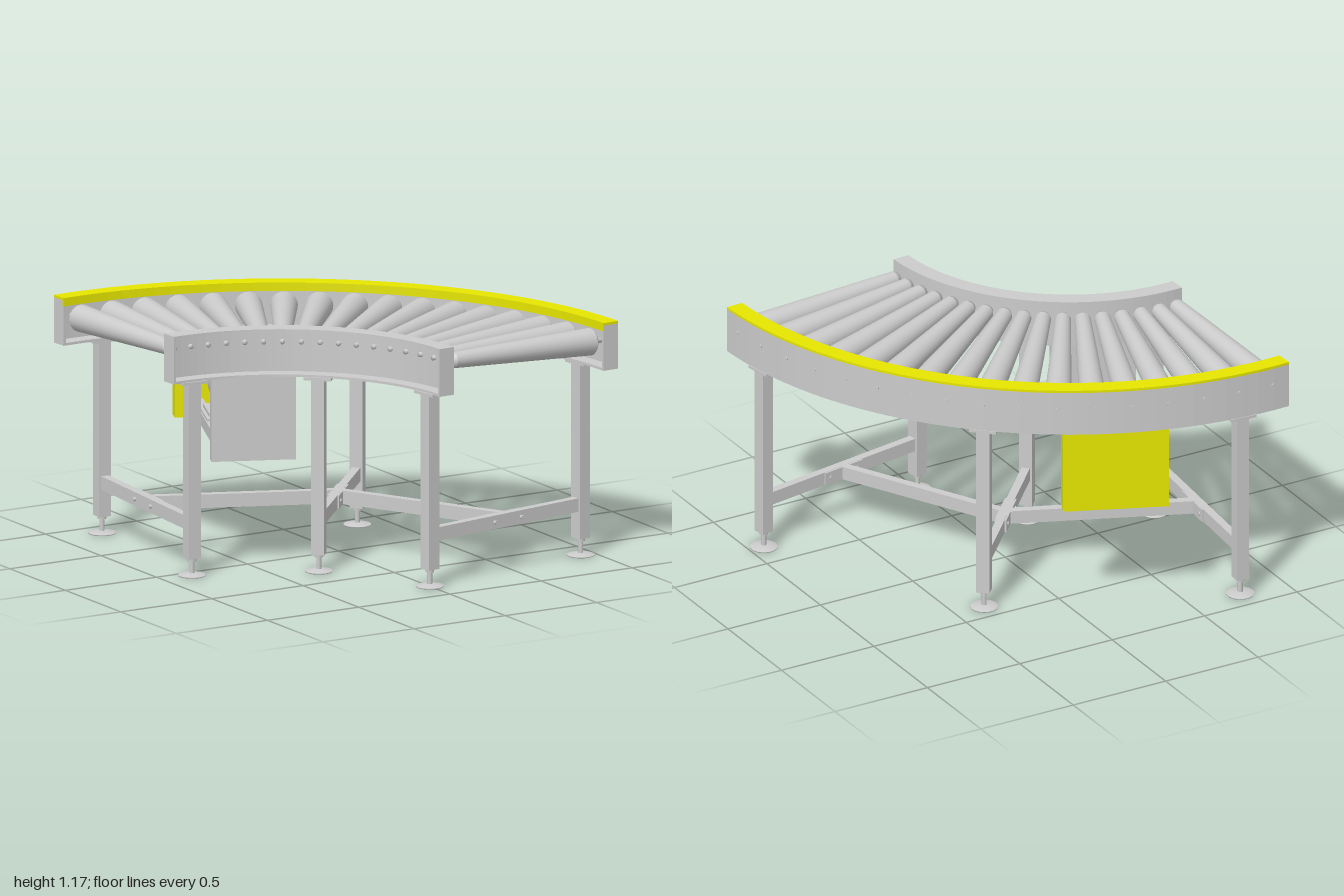
import * as THREE from 'three';

const RAD = Math.PI / 180;
const CX = -0.915, CZ = 0.98;          // centre of the bend
const START = -2.6, SWEEP = 90;        // degrees, measured from the back towards +x
const ROLLERS = 17;
const LEG_ANGLES = [4.7, 42.4, 80.1], R_IN = 0.928, R_OUT = 1.868;
const grey = new THREE.MeshStandardMaterial({ color: 0xcccccc });
const yellow = new THREE.MeshStandardMaterial({ color: 0xe6e600 });

function add(parent, name, geometry, x = 0, y = 0, z = 0, material = grey) {
  const mesh = new THREE.Mesh(geometry, material);
  mesh.name = name;
  mesh.position.set(x, y, z);
  parent.add(mesh);
  return mesh;
}

const box = (w, h, d) => new THREE.BoxGeometry(w, h, d);
const cyl = (r, h, n = 20) => new THREE.CylinderGeometry(r, r, h, n);
const lathe = (pts, n) => new THREE.LatheGeometry(pts.map(p => new THREE.Vector2(...p)), n);

// Frame at the bend centre: local -z points outwards, local x runs along the bend
function spoke(parent, name, angle) {
  const g = new THREE.Group();
  g.name = name;
  g.position.set(CX, 0, CZ);
  g.rotation.y = -angle * RAD;
  parent.add(g);
  return g;
}

function polar(angle, r, y = 0) {
  return new THREE.Vector3(CX + r * Math.sin(angle * RAD), y, CZ - r * Math.cos(angle * RAD));
}

// Curved bar with rectangular section
function arcBar(parent, name, r0, r1, y0, y1, material) {
  const a0 = (90 - START - SWEEP) * RAD, a1 = (90 - START) * RAD;
  const shape = new THREE.Shape();
  shape.absarc(0, 0, r1, a0, a1, false);
  shape.absarc(0, 0, r0, a1, a0, true);
  const geo = new THREE.ExtrudeGeometry(shape, { depth: y1 - y0, bevelEnabled: false, curveSegments: 18 });
  geo.rotateX(-Math.PI / 2);
  add(parent, name, geo, CX, y0, CZ, material);
}

// Channel rail: web on the outer side, flanges pointing inwards, closed ends
function rail(parent, name, r0, r1, topMaterial) {
  const g = new THREE.Group();
  g.name = name;
  parent.add(g);
  const t = 0.012, y0 = 0.94, y1 = 1.17;
  arcBar(g, 'web', r1 - t, r1, y0, y1 - t, grey);
  arcBar(g, 'topFlange', r0, r1, y1 - t, y1, topMaterial);
  arcBar(g, 'bottomFlange', r0, r1, y0, y0 + t, grey);
  for (const [angle, s] of [[START, 1], [START + SWEEP, -1]]) {
    add(spoke(g, 'railEnd', angle), 'endPlate', box(t, y1 - y0 - t, r1 - r0),
      s * t / 2, (y0 + y1 - t) / 2, -(r0 + r1) / 2);
  }
  return g;
}

// Straight bar between two points at the same height
function bar(parent, name, a, b, h, w) {
  const mesh = add(parent, name, box(w, h, a.distanceTo(b)));
  mesh.position.copy(a).add(b).multiplyScalar(0.5);
  mesh.rotation.y = Math.atan2(b.x - a.x, b.z - a.z);
  return mesh;
}

function buildRollers(parent) {
  // Tapered roller with chamfered ends and a thin shaft, axis along y from inner to outer end
  const len = 0.825, tilt = Math.atan2(0.027, len);
  const roller = lathe([[0, -0.03], [0.012, -0.03], [0.012, 0], [0.029, 0], [0.038, 0.022],
    [0.038, 0.022], [0.065, len - 0.008], [0.065, len - 0.008], [0.058, len], [0.012, len],
    [0.012, len + 0.08], [0, len + 0.08]], 24);
  for (let i = 0; i < ROLLERS; i++) {
    const g = spoke(parent, 'rollerUnit', START + SWEEP * (i + 0.5) / ROLLERS);
    const m = add(g, 'roller', roller, 0, 1.094, -0.985);
    m.rotation.x = -Math.PI / 2 - tilt;
    // Shaft ends showing on the rail webs
    for (const [r, y] of [[0.965, 1.096], [1.902, 1.072]]) {
      add(g, 'shaftBolt', cyl(0.009, 0.016, 10), 0, y, -r).rotation.x = Math.PI / 2;
    }
  }
}

function buildLeg(parent, angle, r) {
  const g = spoke(parent, 'leg', angle);
  add(g, 'post', box(0.063, 0.845, 0.063), 0, 0.5075, -r);
  add(g, 'topPlate', box(0.13, 0.014, 0.08), 0, 0.934, -r);
  add(g, 'spindle', cyl(0.012, 0.09, 12), 0, 0.05, -r);
  add(g, 'nut', cyl(0.022, 0.016, 6), 0, 0.078, -r);
  add(g, 'footPad', lathe([[0, 0], [0.065, 0], [0.065, 0.005], [0.022, 0.013], [0, 0.013]], 28), 0, 0, -r);
}

function buildFrame(parent) {
  const y = 0.25, rMid = (R_IN + R_OUT) / 2;
  for (const angle of LEG_ANGLES) {
    buildLeg(parent, angle, R_IN);
    buildLeg(parent, angle, R_OUT);
    bar(parent, 'crossBeam', polar(angle, R_IN + 0.03, y), polar(angle, R_OUT - 0.03, y), 0.065, 0.04);
  }
  // Ties from the middle beam to both end beams, with bolted brackets
  const hub = polar(LEG_ANGLES[1], rMid + 0.01, y);
  for (const [angle, s] of [[LEG_ANGLES[0], 1], [LEG_ANGLES[2], -1]]) {
    bar(parent, 'tieBeam', hub, polar(angle, rMid, y), 0.065, 0.04);
    for (const [a, side] of [[angle, s], [LEG_ANGLES[1], -s]]) {
      const g = spoke(parent, 'bracket', a);
      add(g, 'bracketPlate', box(0.008, 0.063, 0.23), side * 0.024, y, -rMid);
      for (const dz of [-0.082, 0.082]) {
        for (const face of [-1, 1]) {
          add(g, 'bolt', cyl(0.01, 0.014, 10), face * 0.026, y, -rMid + dz).rotation.z = Math.PI / 2;
        }
      }
    }
  }
}

function buildDrive(parent) {
  const g = spoke(parent, 'driveUnit', 23.4);
  add(g, 'outerGuard', box(0.5, 0.405, 0.08), 0, 0.7375, -1.845, yellow);
  add(g, 'innerCover', box(0.4, 0.405, 0.055), 0, 0.7375, -0.94);

  // Ladder carrying the motor
  for (const s of [-1, 1]) add(g, 'supportRail', box(0.05, 0.06, 0.85), s * 0.14, 0.593, -1.385);
  for (const r of [1.2, 1.42, 1.62]) add(g, 'supportRung', box(0.24, 0.03, 0.06), 0, 0.6, -r);
  add(g, 'motorPlate', box(0.32, 0.012, 0.3), 0, 0.629, -1.5);

  // Motor with domed fan cover, flange and gear neck, axis pointing outwards
  const motor = lathe([[0, 0], [0.07, 0.004], [0.105, 0.022], [0.125, 0.055], [0.13, 0.09],
    [0.13, 0.09], [0.135, 0.09], [0.135, 0.1], [0.13, 0.1], [0.13, 0.27], [0.122, 0.295], [0.105, 0.3],
    [0.105, 0.3], [0.105, 0.42], [0.105, 0.42], [0.05, 0.43], [0.05, 0.53], [0, 0.53]], 32);
  add(g, 'motor', motor, 0, 0.768, -1.29).rotation.x = -Math.PI / 2;
  for (const s of [-1, 1]) {
    add(g, 'motorFoot', box(0.03, 0.1, 0.2), s * 0.09, 0.68, -1.5);
    add(g, 'motorFootPad', box(0.07, 0.016, 0.2), s * 0.11, 0.643, -1.5);
  }
}

export function createModel() {
  const model = new THREE.Group();
  model.name = 'curvedRollerConveyor';
  rail(model, 'innerRail', 0.897, 0.978, grey);
  const outer = rail(model, 'outerRail', 1.822, 1.905, yellow);
  arcBar(outer, 'topLip', 1.822, 1.832, 1.13, 1.16, yellow);
  buildRollers(model);
  buildFrame(model);
  buildDrive(model);
  return model;
}
